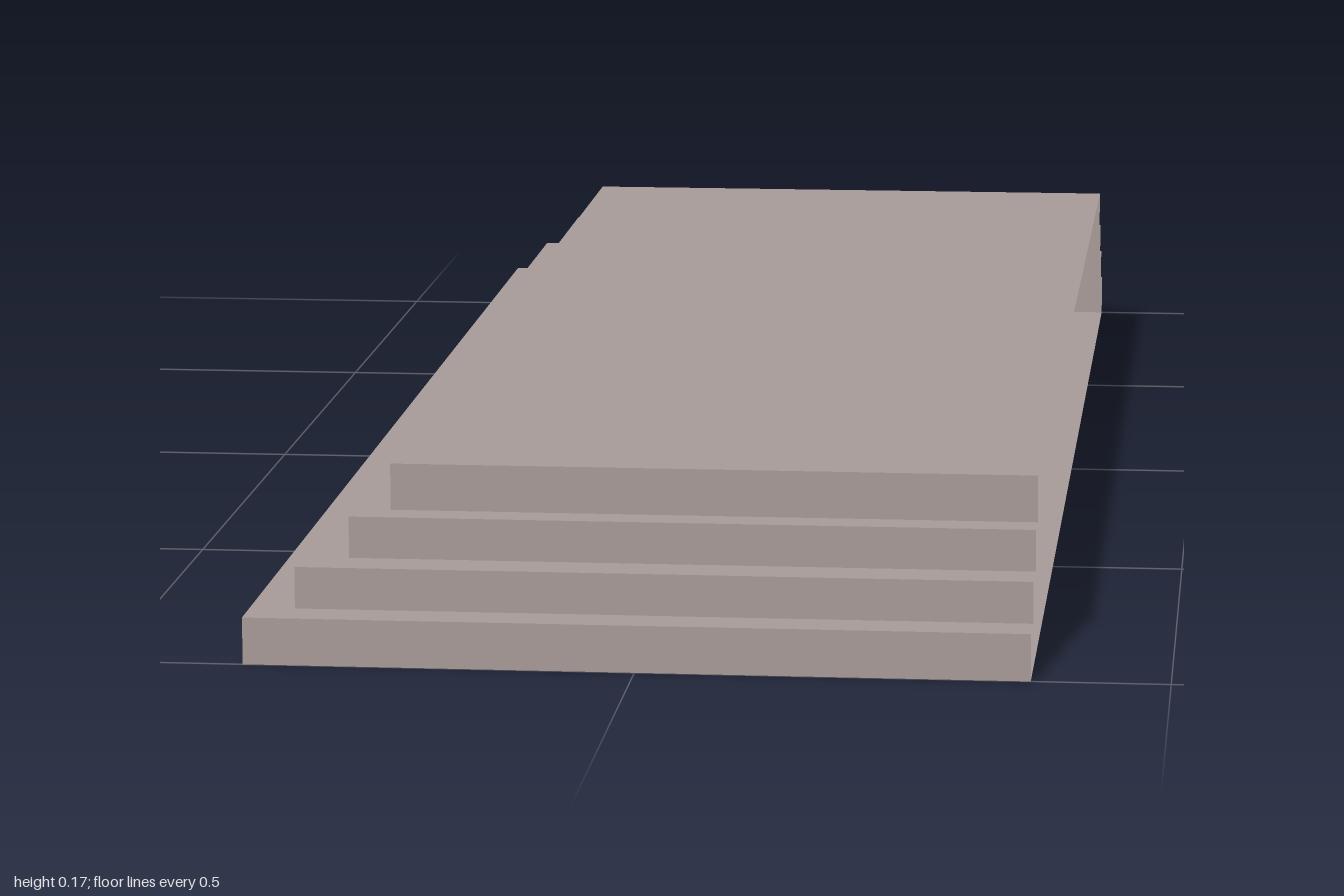
import * as THREE from 'three';

const BACK = 0.37; // open side of the platform
const HALF = 1; // half length of the lowest step
const INSETS = [0, 0.043, 0.088, 0.123];
const LEVELS = [0, 0.045, 0.085, 0.125, 0.17];

// U-shaped outline of a step: front end, long side, back end
function outline(inset, y) {
  const x = -BACK + inset, z = HALF - inset;
  return [[BACK, y, z], [x, y, z], [x, y, -z], [BACK, y, -z]];
}

// Flat-faced strip joining two outlines
function strip(lower, upper) {
  const points = [];
  for (let i = 0; i < 3; i++) {
    const a = lower[i], b = lower[i + 1], c = upper[i + 1], d = upper[i];
    points.push(...b, ...a, ...d, ...b, ...d, ...c);
  }
  const geometry = new THREE.BufferGeometry();
  geometry.setAttribute('position', new THREE.Float32BufferAttribute(points, 3));
  geometry.computeVertexNormals();
  return geometry;
}

// Horizontal sheet filling an outline
function sheet(inset, y, facing) {
  const geometry = new THREE.PlaneGeometry(2 * BACK - inset, 2 * (HALF - inset));
  geometry.rotateX(-facing * Math.PI / 2);
  geometry.translate(inset / 2, y, 0);
  return geometry;
}

export function createModel() {
  const group = new THREE.Group();
  group.name = 'steppedPlatform';
  const stone = new THREE.MeshStandardMaterial({ color: 0xab9d9b, side: THREE.DoubleSide });
  stone.name = 'warmGreyStone';

  const add = (name, geometry) => {
    const mesh = new THREE.Mesh(geometry, stone);
    mesh.name = name;
    group.add(mesh);
  };

  // Hollow shell of four steps, open along the +x side
  INSETS.forEach((inset, i) => {
    const top = outline(inset, LEVELS[i + 1]);
    add(`riser${i + 1}`, strip(outline(inset, LEVELS[i]), top));
    if (i < 3) add(`tread${i + 1}`, strip(top, outline(INSETS[i + 1], LEVELS[i + 1])));
  });

  // Landing and base
  add('landing', sheet(INSETS[3], LEVELS[4], 1));
  add('base', sheet(0, 0, -1));
  return group;
}
